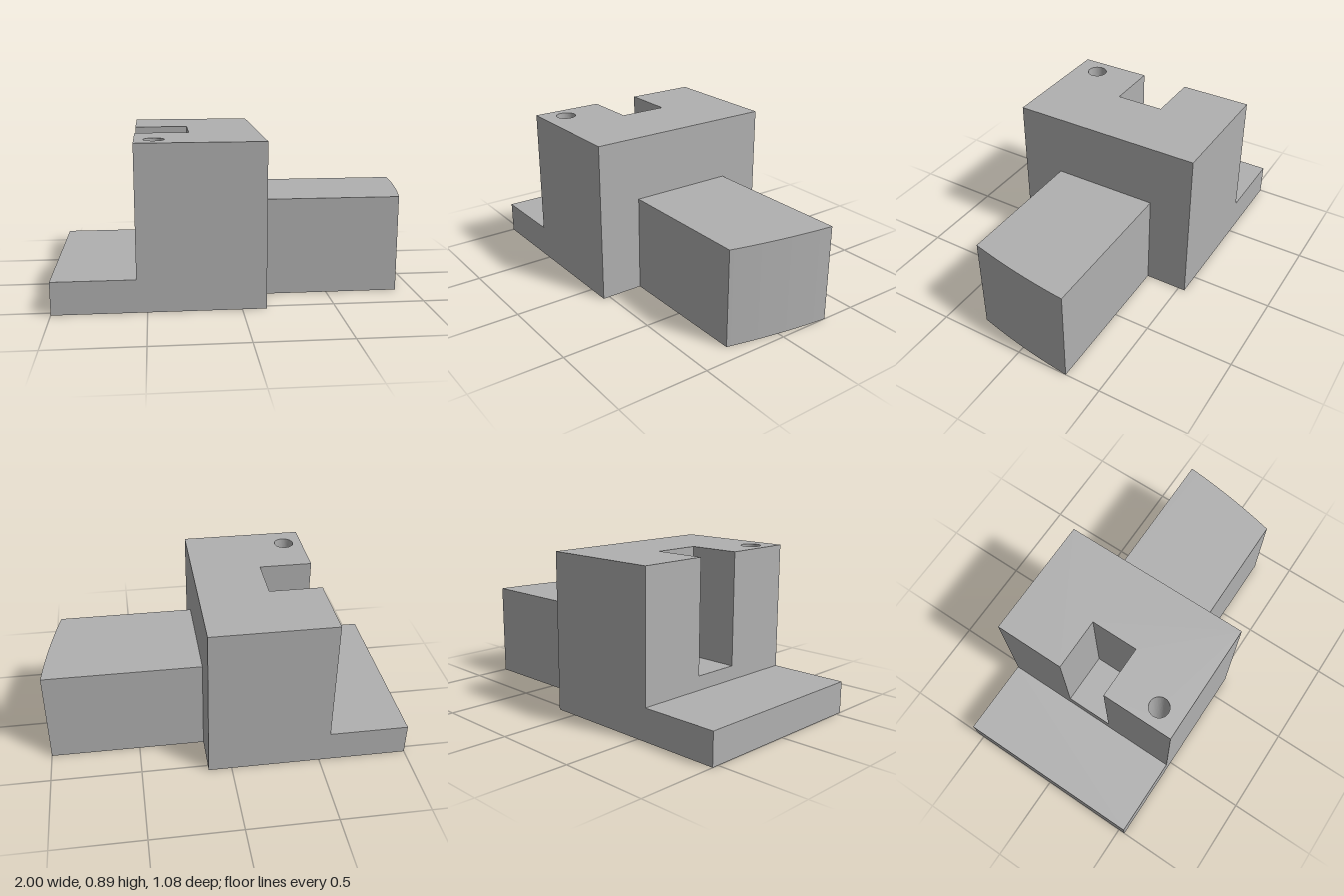
import * as THREE from 'three';

const grey = new THREE.MeshStandardMaterial({ color: 0xb0b0b0 });
grey.name = 'plain grey';

// Plan outline given as [x, z] corners
function plan(points) {
  return new THREE.Shape(points.map(([x, z]) => new THREE.Vector2(x, -z)));
}

// Raise a plan outline from one height to another
function raise(name, shape, bottom, top) {
  const geometry = new THREE.ExtrudeGeometry(shape, {
    depth: top - bottom, bevelEnabled: false, curveSegments: 24,
  });
  geometry.rotateX(-Math.PI / 2).translate(0, bottom, 0);
  const mesh = new THREE.Mesh(geometry, grey);
  mesh.name = name;
  return mesh;
}

export function createModel() {
  const model = new THREE.Group();
  model.name = 'steppedBlock';

  const left = -0.555, right = 0.13, half = 0.538;
  const slabTop = 0.18, slotFloor = 0.26, blockTop = 0.893;

  // Low ledge on the -x side
  model.add(raise('ledge', plan([[-1, half], [left, half], [left, -half], [-1, -half]]), 0, slabTop));

  // Solid foot of the block, up to the slot floor
  model.add(raise('blockFoot', plan([[left, half], [right, half], [right, -half], [left, -half]]), 0, slotFloor));

  // Upper block with an open slot and a round blind hole
  const upper = plan([
    [left, half], [right, half], [right, -half], [left, -half],
    [left, -0.14], [-0.258, -0.14], [-0.258, 0.132], [left, 0.132],
  ]);
  const hole = new THREE.Path();
  hole.absarc(-0.45, -0.402, 0.055, 0, Math.PI * 2, true);
  upper.holes.push(hole);
  model.add(raise('blockUpper', upper, slotFloor, blockTop));

  // Arm on the +x side with a slanted, slightly bowed end
  const arm = plan([[right, -0.298], [right, 0.295], [0.9, 0.295]]);
  arm.quadraticCurveTo(0.972, 0, 1, 0.298);
  model.add(raise('arm', arm, 0, 0.541));

  return model;
}
